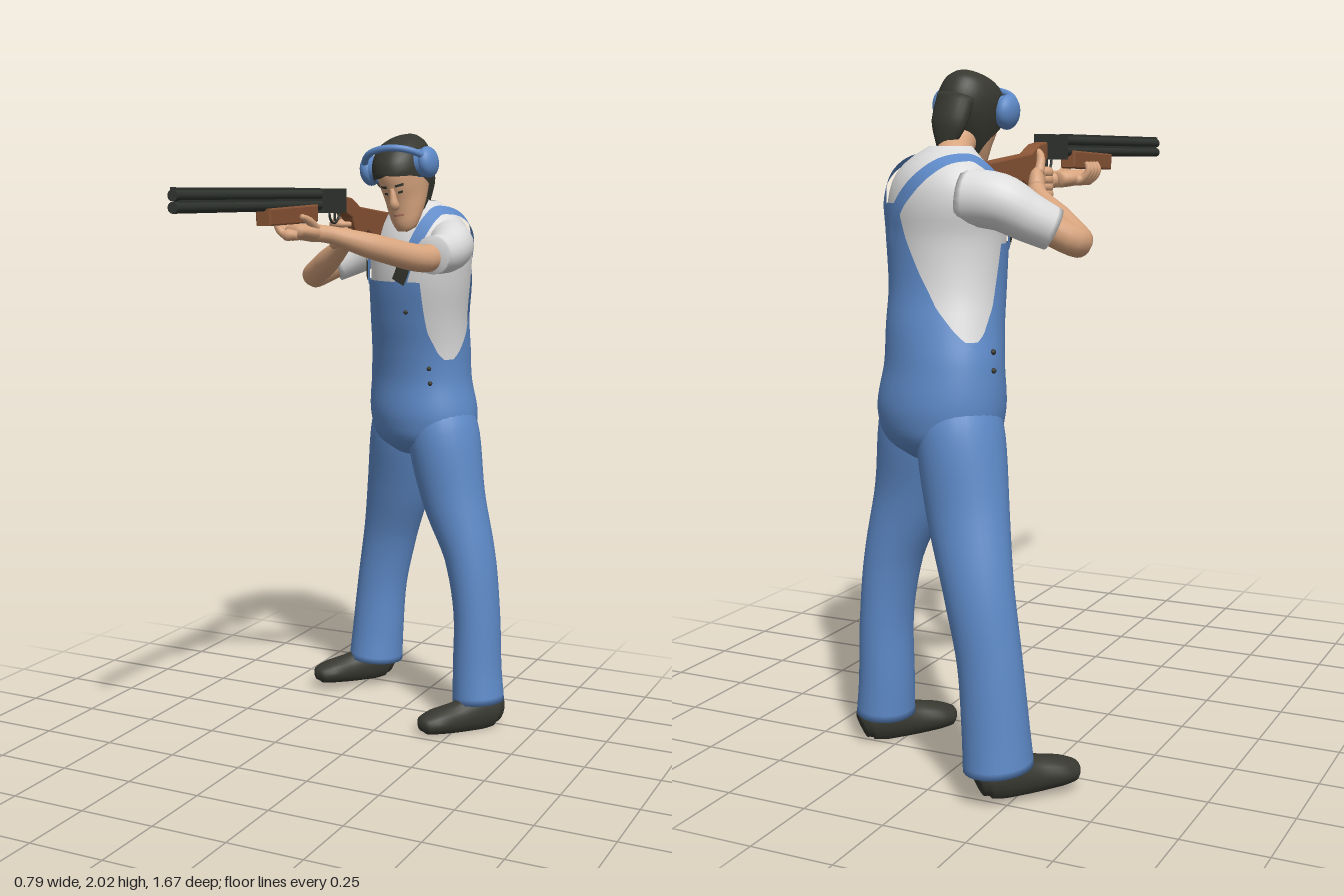
import * as THREE from 'three';
import { mergeVertices } from 'three/addons/utils/BufferGeometryUtils.js';

const V = (x, y, z) => new THREE.Vector3(x, y, z);
const paint = (name, color, side = THREE.FrontSide) => {
  const m = new THREE.MeshStandardMaterial({ color, side });
  m.name = name;
  return m;
};

// Smooth surface from a rule (u, v) -> point
function grid(fn, nu, nv) {
  const pos = [], idx = [];
  for (let j = 0; j <= nv; j++)
    for (let i = 0; i <= nu; i++) pos.push(...fn(i / nu, j / nv).toArray());
  for (let j = 0; j < nv; j++)
    for (let i = 0; i < nu; i++) {
      const a = j * (nu + 1) + i, b = a + 1, c = b + nu + 1, d = a + nu + 1;
      idx.push(a, b, c, a, c, d);
    }
  let g = new THREE.BufferGeometry();
  g.setAttribute('position', new THREE.Float32BufferAttribute(pos, 3));
  g.setIndex(idx);
  g = mergeVertices(g, 1e-5);
  g.computeVertexNormals();
  return g;
}

// Closed limb through [x, y, z, radius, second radius] points
function limb(pts, ref = V(0, 1, 0), floor = -1, seg = 20) {
  const path = new THREE.CatmullRomCurve3(pts.map(p => V(p[0], p[1], p[2])));
  const size = new THREE.CatmullRomCurve3(pts.map(p => V(p[3], p[4] ?? p[3], 0)));
  const rows = (pts.length - 1) * 5 + 2;
  return grid((u, v) => {
    const k = Math.round(v * rows), s = THREE.MathUtils.clamp((k - 1) / (rows - 2), 0, 1);
    const T = path.getTangent(s), N = ref.clone().cross(T).normalize(), B = T.clone().cross(N);
    const r = size.getPoint(s), a = (u % 1) * Math.PI * 2, end = k === 0 || k === rows ? 0 : 1;
    const p = path.getPoint(s).addScaledVector(N, r.x * Math.cos(a) * end).addScaledVector(B, r.y * Math.sin(a) * end);
    p.y = Math.max(p.y, floor);
    return p;
  }, seg, rows);
}

// Body form from rings [y, cx, cz, half width, half depth], facing a yaw angle
function form(rings, yaw) {
  const curve = new THREE.CubicInterpolant(rings.map(r => r[0]), rings.flatMap(r => r.slice(1)), 4, new Float32Array(4));
  const l = V(Math.cos(yaw), 0, Math.sin(yaw)), f = V(-Math.sin(yaw), 0, Math.cos(yaw));
  return (t, y, off = 0) => {
    const [cx, cz, a, b] = curve.evaluate(y), o = off * Math.min(1, a / 0.03);
    return V(cx, y + off * 0.6, cz).addScaledVector(l, (a + o) * Math.sin(t)).addScaledVector(f, (b + o) * Math.cos(t));
  };
}

// Part of a form between two heights and two angles that may vary with height
const patch = (pt, y0, y1, t0, t1, off, nu = 36, nv = 24) => grid((u, v) => {
  const y = y0 + (y1 - y0) * v;
  return pt(THREE.MathUtils.lerp(t0(y), t1(y), u), y, off);
}, nu, nv);

// Ribbon lying on a form along [angle, height] points
function ribbon(pt, pts, width, off) {
  const c = new THREE.CatmullRomCurve3(pts.map(p => V(p[0], p[1], 0)));
  const at = s => { const q = c.getPoint(THREE.MathUtils.clamp(s, 0, 1)); return pt(q.x, q.y, off); };
  return grid((u, v) => {
    const q = c.getPoint(v), T = at(v + 0.01).sub(at(v - 0.01));
    const n = pt(q.x + 0.02, q.y).sub(pt(q.x - 0.02, q.y)).cross(pt(q.x, q.y + 0.004).sub(pt(q.x, q.y - 0.004)));
    return at(v).addScaledVector(T.cross(n).normalize(), (0.5 - u) * width);
  }, 4, 50);
}

// Piecewise linear rule through [x, value] pairs
const rule = pairs => x => {
  if (x <= pairs[0][0]) return pairs[0][1];
  for (let i = 1; i < pairs.length; i++) {
    const [a, p] = pairs[i - 1], [b, q] = pairs[i];
    if (x <= b) return p + (q - p) * (x - a) / (b - a);
  }
  return pairs[pairs.length - 1][1];
};

export function createModel() {
  const model = new THREE.Group();
  const blue = paint('denim blue', 0x5e8ac8, THREE.DoubleSide);
  const white = paint('shirt white', 0xdcdcdc, THREE.DoubleSide);
  const skin = paint('skin', 0xd7a47e);
  const dark = paint('dark hair and shoes', 0x383831, THREE.DoubleSide);
  const metal = paint('gun metal', 0x30342f);
  const wood = paint('walnut wood', 0x8a5535);
  const add = (name, geo, mat, parent = model) => {
    const m = new THREE.Mesh(geo, mat);
    m.name = name;
    parent.add(m);
    return m;
  };
  const PI = Math.PI;

  // Torso with shirt, dungarees and straps
  const torso = form([
    [0.93, 0.04, -0.57, 0.11, 0.08], [0.97, 0.04, -0.57, 0.19, 0.135], [1.05, 0.04, -0.57, 0.22, 0.165],
    [1.2, 0.03, -0.567, 0.205, 0.155], [1.3, 0.035, -0.55, 0.192, 0.155], [1.4, 0.04, -0.525, 0.187, 0.155],
    [1.55, 0.05, -0.505, 0.2, 0.16], [1.65, 0.05, -0.51, 0.213, 0.155], [1.72, 0.05, -0.515, 0.19, 0.13],
    [1.765, 0.05, -0.51, 0.14, 0.095], [1.8, 0.05, -0.48, 0.065, 0.06]], 0.7);
  const bib = rule([[1.25, 1.6], [1.29, 1.35], [1.36, 1.17], [1.53, 1.0]]);
  const back = rule([[1.25, 1.6], [1.29, 1.3], [1.36, 0.95], [1.45, 0.65], [1.55, 0.38], [1.64, 0.2]]);
  add('shirt', patch(torso, 1.2, 1.8, () => 0, () => 2 * PI, 0, 48), white);
  add('trouserSeat', patch(torso, 0.93, 1.27, () => 0, () => 2 * PI, 0.007, 48), blue);
  add('bib', patch(torso, 1.25, 1.53, y => -bib(y), bib, 0.007), blue);
  add('backPanel', patch(torso, 1.25, 1.64, y => PI - back(y), y => PI + back(y), 0.007), blue);
  for (const s of [-1, 1]) {
    const path = [[0.62, 1.51], [0.75, 1.6], [0.95, 1.7], [1.25, 1.752], [1.75, 1.762], [2.3, 1.74], [2.7, 1.68], [2.98, 1.6], [3.05, 1.53]];
    add('shoulderStrap', ribbon(torso, path.map(([t, y]) => [s * t, y]), 0.045, 0.01), blue);
    add('strapBuckle', ribbon(torso, [[s * 0.6, 1.525], [s * 0.66, 1.555], [s * 0.7, 1.585]], 0.05, 0.015), dark);
    for (const y of [1.19, 1.24])
      add('sideButton', new THREE.SphereGeometry(0.008, 10, 8), dark).position.copy(torso(s * 1.15, y, 0.008));
  }
  add('bibButton', new THREE.SphereGeometry(0.008, 10, 8), dark).position.copy(torso(0.75, 1.43, 0.008));

  // Trouser legs
  const Z = V(0, 0, 1);
  add('leftTrouserLeg', limb([
    [0.3, 0.09, -0.465, 0.088, 0.095], [0.292, 0.2, -0.47, 0.083, 0.092], [0.285, 0.4, -0.475, 0.078, 0.092], [0.255, 0.6, -0.477, 0.086, 0.096],
    [0.19, 0.8, -0.482, 0.11, 0.105], [0.145, 1, -0.5, 0.122, 0.13], [0.12, 1.13, -0.52, 0.1, 0.11]], Z, -1, 28), blue);
  add('rightTrouserLeg', limb([
    [-0.213, 0.1, -0.727, 0.098, 0.105], [-0.207, 0.2, -0.73, 0.095, 0.095], [-0.19, 0.4, -0.732, 0.092, 0.086], [-0.152, 0.6, -0.722, 0.1, 0.092],
    [-0.1, 0.8, -0.68, 0.118, 0.105], [-0.062, 1, -0.645, 0.122, 0.13], [-0.04, 1.13, -0.62, 0.1, 0.11]], Z, -1, 28), blue);

  // Shoes, as sections from heel to toe
  const sections = [[0, 0.03, 0.04, 0.045], [0.08, 0.046, 0.062, 0.055], [0.3, 0.05, 0.07, 0.055], [0.55, 0.05, 0.055, 0.045],
    [0.8, 0.057, 0.042, 0.04], [0.95, 0.042, 0.03, 0.033], [1, 0.012, 0.012, 0.028]];
  for (const [name, x, z, y] of [['leftShoe', 0.36, -0.51, 0], ['rightShoe', -0.178, -0.785, 0.02]])
    add(name, limb(sections.map(([s, w, h, cy]) => [x - 0.2 * s, cy + y, z + 0.235 * s, w, h]), undefined, y), dark);

  // Arms and sleeves
  add('leftSleeve', limb([[0.14, 1.67, -0.47, 0.08], [0.21, 1.655, -0.38, 0.076], [0.226, 1.635, -0.29, 0.065], [0.215, 1.63, -0.21, 0.061]]), white);
  add('leftArm', limb([[0.215, 1.635, -0.28, 0.045], [0.195, 1.62, -0.19, 0.044], [0.09, 1.66, -0.04, 0.04], [-0.01, 1.698, 0.06, 0.027], [-0.045, 1.705, 0.1, 0.026]]), skin);
  add('rightSleeve', limb([[-0.06, 1.66, -0.61, 0.08], [-0.16, 1.65, -0.6, 0.078], [-0.23, 1.61, -0.57, 0.068], [-0.29, 1.575, -0.53, 0.06]]), white);
  add('rightArm', limb([[-0.26, 1.59, -0.545, 0.045], [-0.34, 1.54, -0.48, 0.043], [-0.25, 1.59, -0.39, 0.042], [-0.145, 1.66, -0.31, 0.027], [-0.12, 1.685, -0.27, 0.026]]), skin);

  // Hands wrapped around the fore-end and the grip
  add('leftPalm', limb([[-0.04, 1.7, 0.06, 0.025], [-0.06, 1.705, 0.11, 0.042, 0.026], [-0.075, 1.712, 0.18, 0.035, 0.02]]), skin);
  add('rightPalm', limb([[-0.13, 1.675, -0.29, 0.024], [-0.112, 1.7, -0.25, 0.024, 0.04], [-0.1, 1.705, -0.19, 0.018, 0.035]]), skin);
  for (let i = 0; i < 4; i++) {
    const z = 0.1 + i * 0.026, y = 1.725 - i * 0.021;
    add('leftFinger', limb([[-0.06, 1.7, z, 0.013], [-0.105, 1.703, z + 0.008, 0.013], [-0.125, 1.73, z + 0.01, 0.011], [-0.118, 1.755, z + 0.01, 0.007]], Z, -1, 10), skin);
    add('rightFinger', limb([[-0.115, y, -0.22, 0.013], [-0.118, y, -0.18, 0.013], [-0.085, y, -0.16, 0.011], [-0.055, y, -0.18, 0.008]], undefined, -1, 10), skin);
  }
  add('leftThumb', limb([[-0.035, 1.71, 0.09, 0.015], [-0.04, 1.74, 0.14, 0.013], [-0.046, 1.755, 0.18, 0.008]], undefined, -1, 10), skin);
  add('rightThumb', limb([[-0.12, 1.72, -0.25, 0.016], [-0.11, 1.775, -0.22, 0.012], [-0.08, 1.795, -0.205, 0.009]], undefined, -1, 10), skin);

  // Neck and bowed head
  add('neck', limb([[0.05, 1.72, -0.5, 0.062], [0.05, 1.78, -0.45, 0.055], [0.055, 1.85, -0.38, 0.055]], Z), skin);
  const head = new THREE.Group();
  head.name = 'head';
  head.position.set(0.055, 1.875, -0.355);
  head.rotation.set(0.36, 0, 0.13);
  model.add(head);
  const skull = form([[-0.157, 0, 0.085, 0.001, 0.001], [-0.15, 0, 0.082, 0.026, 0.024], [-0.13, 0, 0.07, 0.043, 0.045],
    [-0.09, 0, 0.04, 0.06, 0.072], [-0.045, 0, 0.013, 0.07, 0.096], [0, 0, 0, 0.077, 0.112], [0.05, 0, -0.005, 0.077, 0.112],
    [0.09, 0, -0.01, 0.06, 0.09], [0.113, 0, -0.012, 0.032, 0.05], [0.122, 0, -0.012, 0.001, 0.001]], 0);
  add('face', patch(skull, -0.157, 0.122, () => 0, () => 2 * PI, 0), skin, head);
  const line = rule([[-0.12, 2.3], [-0.08, 1.95], [-0.04, 1.55], [0, 1.2], [0.025, 0.7], [0.04, 0]]);
  add('hair', patch(skull, -0.12, 0.122, line, y => 2 * PI - line(y), 0.014, 48, 36), dark, head);
  add('napeHair', limb([[0, 0.03, -0.1, 0.06, 0.04], [0, -0.05, -0.1, 0.055, 0.03], [0, -0.12, -0.085, 0.025, 0.012]], Z), dark, head);
  add('nose', limb([[0, 0, 0.106, 0.008], [0, -0.03, 0.118, 0.012], [0, -0.052, 0.122, 0.016], [0, -0.062, 0.108, 0.01]], Z, -1, 12), skin, head);
  add('mouth', patch(skull, -0.094, -0.088, () => -0.3, () => 0.3, 0.003, 10, 2), paint('lips', 0xb87562), head);
  for (const s of [-1, 1]) {
    add('eyebrow', patch(skull, 0.002, 0.01, () => s * 0.35 - 0.17, () => s * 0.35 + 0.17, 0.004, 8, 2), dark, head);
    add('eye', patch(skull, -0.02, -0.012, () => s * 0.34 - 0.1, () => s * 0.34 + 0.1, 0.002, 8, 2), dark, head);
    // Ear defender cups
    const cup = add('earCup', new THREE.SphereGeometry(0.05, 24, 16), blue, head);
    cup.scale.x = 0.62;
    cup.position.set(s * 0.105, 0.045, 0.02);
    const pad = add('earPad', new THREE.CylinderGeometry(0.045, 0.045, 0.03, 24), blue, head);
    pad.rotation.z = PI / 2;
    pad.position.set(s * 0.085, 0.045, 0.02);
  }
  const band = add('headBand', new THREE.TorusGeometry(0.112, 0.011, 10, 40, PI), blue, head);
  band.position.set(0, 0.045, 0.02);
  band.rotation.x = 0.7;

  // Shotgun
  const gun = new THREE.Group();
  gun.name = 'shotgun';
  gun.position.x = -0.08;
  model.add(gun);
  const box = (name, w, h, d, y, z, mat) => add(name, new THREE.BoxGeometry(w, h, d), mat, gun).position.set(0, y, z);
  for (const y of [1.787, 1.819]) {
    const b = add('barrel', new THREE.CylinderGeometry(0.0155, 0.0155, 0.86, 18), metal, gun);
    b.rotation.x = PI / 2;
    b.position.set(0, y, 0.41);
  }
  box('sightRib', 0.012, 0.008, 0.84, 1.836, 0.42, metal);
  box('barrelRib', 0.018, 0.03, 0.82, 1.803, 0.41, metal);
  box('receiver', 0.046, 0.075, 0.15, 1.8, -0.075, metal);
  box('trigger', 0.006, 0.03, 0.006, 1.752, -0.11, metal);
  const guard = add('triggerGuard', new THREE.TorusGeometry(0.034, 0.004, 8, 20, PI), metal, gun);
  guard.rotation.set(PI, PI / 2, 0);
  guard.position.set(0, 1.764, -0.107);

  // Wooden parts from side outlines in z and y
  const plank = (name, pts, width) => {
    const bevel = 0.005;
    const g = new THREE.ExtrudeGeometry(new THREE.Shape(pts.map(p => new THREE.Vector2(...p))),
      { depth: width - 2 * bevel, bevelThickness: bevel, bevelSize: bevel, bevelOffset: -bevel, bevelSegments: 2 });
    g.rotateY(-PI / 2).translate(width / 2 - bevel, 0, 0);
    add(name, g, wood, gun);
  };
  plank('foreEnd', [[0.05, 1.74], [0.06, 1.735], [0.355, 1.73], [0.36, 1.78], [0.05, 1.79]], 0.05);
  plank('stock', [[-0.14, 1.765], [-0.14, 1.815], [-0.2, 1.808], [-0.26, 1.78], [-0.53, 1.755], [-0.525, 1.625],
    [-0.32, 1.7], [-0.27, 1.682], [-0.235, 1.685], [-0.2, 1.745]], 0.042);
  return model;
}
